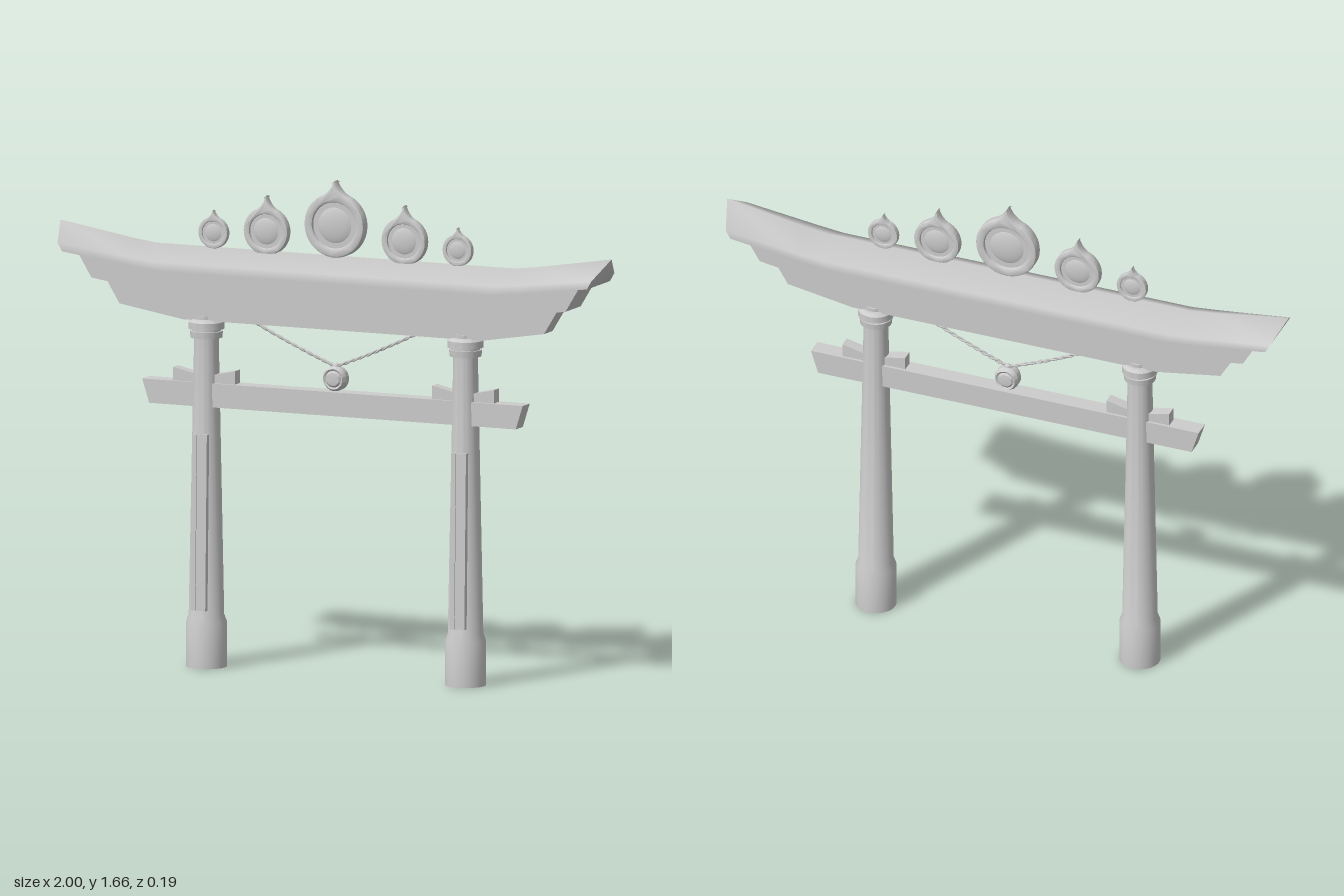
import * as THREE from 'three';
import { toCreasedNormals } from 'three/addons/utils/BufferGeometryUtils.js';

const stone = new THREE.MeshStandardMaterial({ color: 0xcccccc });
stone.name = 'pale stone';

function add(parent, name, geometry, x = 0, y = 0, z = 0) {
  const mesh = new THREE.Mesh(geometry, stone);
  mesh.name = name;
  mesh.position.set(x, y, z);
  parent.add(mesh);
  return mesh;
}

// Solid skinned over cross-sections that run along +x; each is a loop of [x, y, z]
function loft(sections, crease) {
  const pos = [];
  const n = sections[0].length;
  const tri = (a, b, c) => pos.push(...a, ...b, ...c);
  for (let i = 0; i < sections.length - 1; i++) {
    for (let j = 0; j < n; j++) {
      const k = (j + 1) % n;
      const [s, t] = [sections[i], sections[i + 1]];
      tri(s[j], s[k], t[k]);
      tri(s[j], t[k], t[j]);
    }
  }
  const first = sections[0], last = sections[sections.length - 1];
  for (let j = 1; j < n - 1; j++) {
    tri(first[0], first[j + 1], first[j]);
    tri(last[0], last[j], last[j + 1]);
  }
  const g = new THREE.BufferGeometry();
  g.setAttribute('position', new THREE.Float32BufferAttribute(pos, 3));
  return toCreasedNormals(g, crease);
}

// Mirror half the stations (centre to tip) to get the full run
function mirrored(half) {
  const left = half.map(s => s.map(([x, y, z]) => [-x, y, z])).reverse();
  return [...left, ...half];
}

// Rectangular beam whose stations are [xBottom, yBottom, xTop, yTop]
function beam(stations, depth) {
  return loft(mirrored(stations.map(([xb, yb, xt, yt]) => [
    [xt, yt, -depth], [xt, yt, depth], [xb, yb, depth], [xb, yb, -depth],
  ])), 0.3);
}

// Ridged roof section: bottom, eave and ridge as [x, y]
function roofSection(bottom, eave, ridge) {
  const w = 0.094;
  return [[...ridge, 0], [...eave, w], [...bottom, w], [...bottom, -w], [...eave, -w]];
}

function lathe(points, crease = 0.5) {
  const g = new THREE.LatheGeometry(points.map(p => new THREE.Vector2(...p)), 40);
  return toCreasedNormals(g, crease);
}

// Flame-tipped ring holding a domed disc
function finial(r, tip, depth) {
  const group = new THREE.Group();
  group.name = 'flameFinial';
  const bevel = r * 0.07;
  const a = Math.PI / 3;
  const shape = new THREE.Shape();
  shape.absarc(0, 0, r, Math.PI - a, 2 * Math.PI + a, false);
  shape.quadraticCurveTo(r * 0.15, r * 1.0, 0, tip);
  shape.quadraticCurveTo(-r * 0.15, r * 1.0, -r * 0.5, r * 0.866);
  const hole = new THREE.Path();
  hole.absarc(0, 0, r * 0.72, 0, Math.PI * 2, true);
  shape.holes.push(hole);
  const ring = new THREE.ExtrudeGeometry(shape, {
    depth: 2 * (depth - bevel), curveSegments: 28,
    bevelSize: bevel, bevelThickness: bevel, bevelOffset: -bevel, bevelSegments: 2,
  });
  ring.translate(0, 0, bevel - depth);
  add(group, 'flameRing', toCreasedNormals(ring, 0.5));
  const back = new THREE.CylinderGeometry(r * 0.82, r * 0.82, depth, 36);
  add(group, 'discBacking', back.rotateX(Math.PI / 2));
  const dome = new THREE.SphereGeometry(r * 0.65, 32, 16);
  add(group, 'domedDisc', dome.scale(1, 1, depth * 0.95 / (r * 0.65)));
  return group;
}

function pillar(x) {
  const group = new THREE.Group();
  group.name = 'pillar';
  group.position.x = x;
  add(group, 'shaft', lathe([[0, 0], [0.068, 0], [0.068, 0.15], [0.059, 0.175],
    [0.041, 1.1], [0.041, 1.18], [0, 1.18]]));
  add(group, 'collar', lathe([[0, 1.105], [0.053, 1.105], [0.055, 1.127], [0.048, 1.127],
    [0.048, 1.135], [0.06, 1.135], [0.06, 1.158], [0.05, 1.168], [0, 1.168]]));

  // Blank tablet with raised side rails, leaning with the shaft
  const tablet = new THREE.Group();
  tablet.name = 'tablet';
  tablet.position.set(0, 0.49, 0.051);
  tablet.rotation.x = -0.022;
  add(tablet, 'tabletPanel', new THREE.BoxGeometry(0.054, 0.59, 0.018));
  for (const s of [-1, 1]) {
    add(tablet, 'tabletRail', new THREE.BoxGeometry(0.017, 0.59, 0.02), s * 0.0185, 0, 0.003);
  }
  group.add(tablet);

  // Wedges locking the tie beam on both sides
  for (const s of [-1, 1]) {
    const shape = new THREE.Shape([[0, 0.95], [0.112 * s, 0.95], [0.112 * s, 1.0], [0, 0.975]]
      .map(p => new THREE.Vector2(...p)));
    const g = new THREE.ExtrudeGeometry(shape, { depth: 0.04, bevelEnabled: false });
    add(group, 'wedge', g, 0, 0, -0.02);
  }
  return group;
}

export function createModel() {
  const model = new THREE.Group();
  model.name = 'shrineGate';

  // Upturned roof and the two stepped beams below it
  add(model, 'roof', loft(mirrored([
    roofSection([0.6, 1.33], [0.62, 1.362], [0.65, 1.41]),
    roofSection([0.7, 1.341], [0.71, 1.371], [0.73, 1.42]),
    roofSection([0.952, 1.374], [0.968, 1.402], [1.0, 1.464]),
  ]), 1.2));
  add(model, 'upperLintel', beam([[0.61, 1.25, 0.6, 1.335], [0.86, 1.288, 0.91, 1.371]], 0.062));
  add(model, 'lowerLintel', beam([[0.54, 1.165, 0.58, 1.255], [0.77, 1.203, 0.82, 1.285]], 0.035));
  add(model, 'tieBeam', beam([[0.3, 0.875, 0.3, 0.955], [0.665, 0.875, 0.69, 0.955]], 0.029));

  for (const s of [-1, 1]) model.add(pillar(s * 0.47));

  // Row of finials along the ridge: x, centre y, radius, tip height, half depth
  for (const [x, y, r, tip, d] of [
    [0, 1.513, 0.108, 0.149, 0.021],
    [-0.25, 1.476, 0.08, 0.119, 0.016], [0.25, 1.476, 0.08, 0.119, 0.016],
    [-0.443, 1.458, 0.053, 0.075, 0.011], [0.443, 1.458, 0.053, 0.075, 0.011],
  ]) {
    const f = finial(r, tip, d);
    f.position.set(x, y, 0);
    model.add(f);
  }

  // Two-strand twisted rope hanging from the lintel
  for (const s of [-1, 1]) {
    const path = new THREE.QuadraticBezierCurve3(new THREE.Vector3(s * 0.31, 1.175, 0),
      new THREE.Vector3(s * 0.15, 1.095, 0), new THREE.Vector3(0, 1.038, 0));
    for (const phase of [0, Math.PI]) {
      const strand = path.getPoints(60).map((p, i) => {
        const a = i * 0.6 + phase;
        return new THREE.Vector3(p.x, p.y + 0.003 * Math.cos(a), 0.003 * Math.sin(a));
      });
      add(model, 'ropeStrand',
        new THREE.TubeGeometry(new THREE.CatmullRomCurve3(strand), 120, 0.0035, 6));
    }
  }

  // Round bell at the middle of the rope
  const bell = new THREE.Group();
  bell.name = 'bell';
  bell.position.y = 0.998;
  const drum = lathe([[0, -0.03], [0.022, -0.027], [0.028, -0.022], [0.034, -0.026],
    [0.042, -0.012], [0.042, 0.012], [0.034, 0.026], [0.028, 0.022], [0.022, 0.027], [0, 0.03]]);
  add(bell, 'bellBody', drum.rotateX(Math.PI / 2));
  add(bell, 'bellKnot', new THREE.SphereGeometry(0.011, 16, 10), 0, 0.041, 0);
  model.add(bell);

  return model;
}
